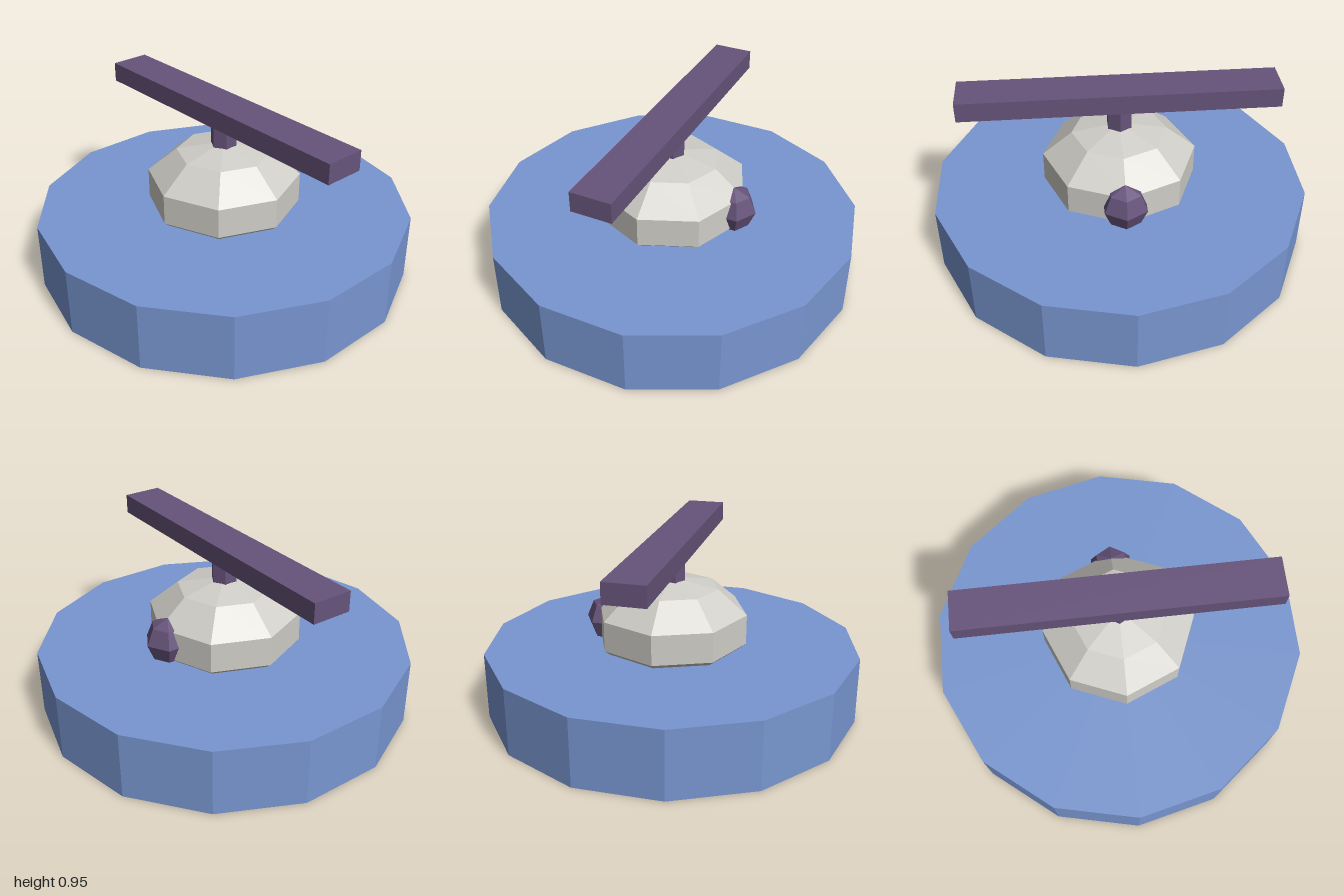
import * as THREE from 'three';

function material(name, color) {
  const m = new THREE.MeshStandardMaterial({ color, flatShading: true });
  m.name = name;
  return m;
}

export function createModel() {
  const blue = material('blue', 0x7896d0);
  const stone = material('pale grey', 0xd0cec8);
  const purple = material('purple', 0x66537a);

  const model = new THREE.Group();
  model.name = 'model';

  function add(name, geometry, mat, y, z = 0) {
    const mesh = new THREE.Mesh(geometry, mat);
    mesh.name = name;
    mesh.position.set(0, y, z);
    model.add(mesh);
    return mesh;
  }

  // Broad fourteen-sided base
  add('base', new THREE.CylinderGeometry(1, 1, 0.36, 14), blue, 0.18);

  // Flattened faceted dome, sunk into the base
  add('dome', new THREE.SphereGeometry(0.426, 8, 5).scale(1, 0.61, 1), stone, 0.465);

  // Hexagonal stem on the dome
  add('stem', new THREE.CylinderGeometry(0.07, 0.07, 0.14, 6), purple, 0.755);

  // Long bar hovering just above the stem
  add('bar', new THREE.BoxGeometry(1.64, 0.105, 0.21), purple, 0.8975);

  // Faceted knob at the back, a corner pointing outward
  add('knob', new THREE.SphereGeometry(0.125, 6, 4).rotateY(Math.PI / 2), purple, 0.465, -0.355);

  return model;
}
